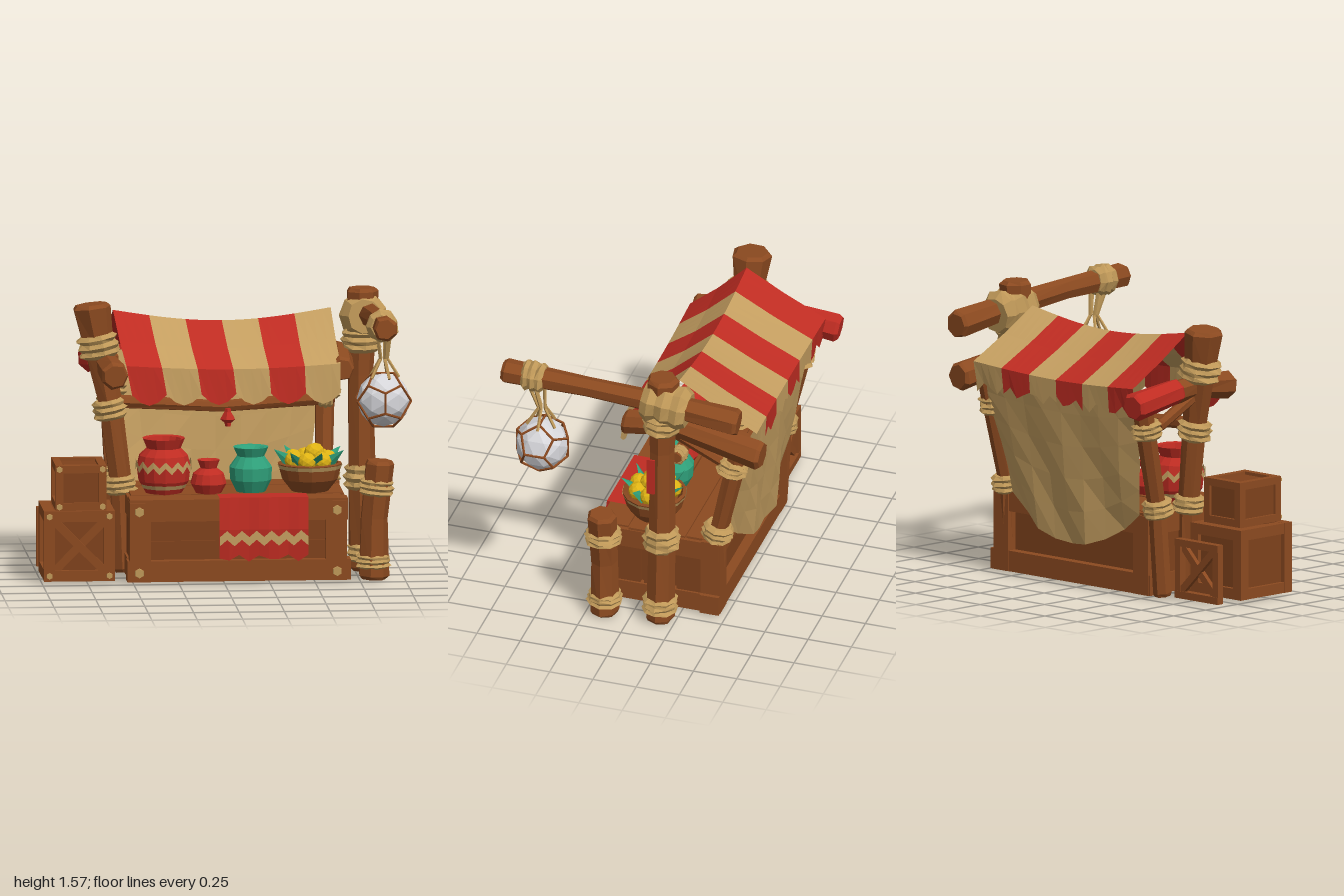
import * as THREE from 'three';

const mat = (name, color, side = THREE.FrontSide) => {
  const m = new THREE.MeshStandardMaterial({ color, side });
  m.name = name;
  return m;
};
const V = (x, y, z) => new THREE.Vector3(x, y, z);

export function createModel() {
  const root = new THREE.Group();
  root.name = 'marketStall';
  const wood = mat('wood', 0x8c4a20), plank = mat('plankWood', 0x7f421c);
  const rope = mat('rope', 0xbf9858), tan = mat('tanCloth', 0xc49e60, THREE.DoubleSide);
  const red = mat('red', 0xbf2c22, THREE.DoubleSide), green = mat('green', 0x2fa07a, THREE.DoubleSide);
  const yellow = mat('yellow', 0xe0b414), white = mat('glass', 0xd6d6da);

  let seed = 7;
  const rand = () => ((seed = (seed * 16807) % 2147483647) / 2147483647) - 0.5;

  // Adds a mesh with faceted normals
  const add = (name, geo, material, parent = root) => {
    const g = geo.index ? geo.toNonIndexed() : geo;
    g.computeVertexNormals();
    const m = new THREE.Mesh(g, material);
    m.name = name;
    parent.add(m);
    return m;
  };
  const box = (name, x, y, z, w, h, d, material = wood, parent = root) => {
    const m = add(name, new THREE.BoxGeometry(w, h, d), material, parent);
    m.position.set(x, y, z);
    return m;
  };
  const build = (pos, idx) => {
    const g = new THREE.BufferGeometry();
    g.setAttribute('position', new THREE.Float32BufferAttribute(pos, 3));
    g.setIndex(idx);
    return g;
  };

  // Loft of rough rings along a path, capped at both ends
  const loft = (pts, radii, sides, rough) => {
    const pos = [], idx = [], n = pts.length;
    const axis = pts[n - 1].clone().sub(pts[0]).normalize();
    const ref = Math.abs(axis.y) > 0.7 ? V(0, 0, 1) : V(0, 1, 0);
    const a = ref.cross(axis).normalize(), b = axis.clone().cross(a);
    pts.forEach((p, k) => {
      for (let i = 0; i < sides; i++) {
        const t = ((i + 0.5) / sides) * Math.PI * 2, r = radii[k] * (1 + rand() * rough);
        pos.push(...p.clone().addScaledVector(a, Math.cos(t) * r).addScaledVector(b, Math.sin(t) * r).toArray());
      }
    });
    pos.push(...pts[0].toArray(), ...pts[n - 1].toArray());
    for (let i = 0; i < sides; i++) {
      const j = (i + 1) % sides;
      for (let k = 0; k < n - 1; k++) {
        const q = k * sides, s = q + sides;
        idx.push(q + i, q + j, s + i, q + j, s + j, s + i);
      }
      idx.push(n * sides, j, i, n * sides + 1, (n - 1) * sides + i, (n - 1) * sides + j);
    }
    return build(pos, idx);
  };
  // Log with chamfered ends
  const log = (name, pts, radii, material = wood, sides = 7) => {
    const n = pts.length, c = 0.02;
    const p1 = pts[0].clone().add(pts[1].clone().sub(pts[0]).setLength(c));
    const p2 = pts[n - 1].clone().add(pts[n - 2].clone().sub(pts[n - 1]).setLength(c));
    return add(name, loft([pts[0], p1, ...pts.slice(1, -1), p2, pts[n - 1]],
      [radii[0] * 0.82, radii[0], ...radii.slice(1, -1), radii[n - 1], radii[n - 1] * 0.82], sides, 0.12), material);
  };
  // Lumpy rope binding around a log
  const wrap = (p, dir, r, h) => {
    const f = [0.85, 1.12, 0.98, 1.15, 0.97, 1.1, 0.85];
    const d = dir.clone().normalize();
    add('ropeBinding', loft(f.map((_, i) => p.clone().addScaledVector(d, (i / 6 - 0.5) * h)), f.map(s => s * r), 9, 0.16), rope);
  };
  // Surface from a function of two whole-number steps
  const grid = (nu, nv, f) => {
    const pos = [], idx = [];
    for (let j = 0; j <= nv; j++) for (let i = 0; i <= nu; i++) pos.push(...f(i / nu, j));
    for (let j = 0; j < nv; j++) for (let i = 0; i < nu; i++) {
      const a = j * (nu + 1) + i, c = a + nu + 1;
      idx.push(a, a + 1, c, a + 1, c + 1, c);
    }
    return build(pos, idx);
  };
  const peg = (x, y, z, r = 0.02) => {
    const m = add('peg', new THREE.CylinderGeometry(r, r * 1.1, 0.016, 6), rope);
    m.rotation.x = Math.PI / 2;
    m.position.set(x, y, z);
  };

  // Counter
  box('counterBody', 0.075, 0.24, -0.11, 1.13, 0.42, 0.6, plank);
  for (const z of [0.19, -0.41]) {
    box('topBeam', 0.08, 0.415, z, 1.2, 0.12, 0.1);
    box('bottomBeam', 0.08, 0.078, z, 1.23, 0.115, 0.11);
    for (const x of [-0.465, 0.615]) box('cornerPost', x, 0.24, z, 0.115, 0.44, 0.115);
  }
  for (const x of [-0.475, 0.63]) {
    box('sideTopBeam', x, 0.41, -0.11, 0.09, 0.11, 0.64);
    box('sideBottomBeam', x, 0.078, -0.11, 0.1, 0.11, 0.7);
    for (let i = 0; i < 3; i++) box('sidePlank', x, 0.24, -0.3 + i * 0.19, 0.075, 0.24, 0.17, plank);
  }
  for (let i = 0; i < 4; i++) box('counterPlank', 0.075 + rand() * 0.02, 0.462, 0.15 - i * 0.165, 1.17, 0.026 + i % 2 * 0.006, 0.158);
  for (let i = 0; i < 2; i++) box('frontPlank', 0.08, 0.19 + i * 0.11, 0.19, 1, 0.1, 0.03 + i * 0.012, plank);
  for (const x of [-0.47, 0.62]) for (const y of [0.07, 0.41]) peg(x, y, 0.252, 0.026);

  // Posts
  const lp = [V(-0.52, 0.02, -0.16), V(-0.54, 0.5, -0.17), V(-0.6, 0.95, -0.18), V(-0.66, 1.27, -0.2), V(-0.7, 1.5, -0.21)];
  log('leftPost', lp, [0.065, 0.06, 0.065, 0.085, 0.11]);
  wrap(lp[1], V(-0.1, 1, 0), 0.08, 0.1);
  wrap(lp[2].clone().setY(0.92), V(-0.2, 1, 0), 0.085, 0.11);
  wrap(lp[3], V(-0.2, 1, 0), 0.105, 0.13);
  log('tallPost', [V(0.8, 0.01, -0.16), V(0.785, 0.6, -0.165), V(0.78, 1.1, -0.165), V(0.79, 1.58, -0.175)], [0.085, 0.075, 0.07, 0.088]);
  wrap(V(0.8, 0.11, -0.16), V(0, 1, 0), 0.088, 0.1);
  wrap(V(0.787, 0.53, -0.165), V(0, 1, 0), 0.09, 0.14);
  wrap(V(0.785, 1.29, -0.17), V(0, 1, 0), 0.1, 0.13);
  wrap(V(0.8, 1.42, -0.2), V(0, 0.12, 1), 0.115, 0.26);
  box('redPatch', 0.855, 0.96, -0.125, 0.009, 0.22, 0.045, red);
  log('shortPost', [V(0.825, 0.01, 0.15), V(0.83, 0.35, 0.15), V(0.86, 0.67, 0.155)], [0.085, 0.075, 0.083]);
  wrap(V(0.825, 0.11, 0.15), V(0, 1, 0), 0.088, 0.08);
  wrap(V(0.845, 0.52, 0.15), V(0.1, 1, 0), 0.09, 0.09);
  for (const s of [-1, 1]) {
    log('backPost', [V(s * 0.59 + 0.02, 0.02, -0.4), V(s * 0.58 + 0.02, 0.5, -0.43), V(s * 0.6 + 0.02, 1.17, -0.58)], [0.055, 0.05, 0.06]);
    wrap(V(s * 0.58 + 0.02, 0.51, -0.43), V(0, 1, -0.2), 0.08, 0.1);
    wrap(V(s * 0.59 + 0.02, 0.96, -0.52), V(0, 1, -0.2), 0.078, 0.1);
    log('sideBrace', [V(s * 0.64, 1.15, -0.17), V(s * 0.62, 0.98, -0.48)], [0.035, 0.035]);
  }

  // Roof beams, the left one with a red rear end
  log('rightRoofBeam', [V(0.66, 1.165, 0.09), V(0.67, 1.21, -0.2), V(0.7, 1.12, -0.72)], [0.07, 0.065, 0.083]);
  log('leftRoofBeam', [V(-0.59, 1.14, 0.09), V(-0.62, 1.17, -0.2), V(-0.645, 1.16, -0.4)], [0.078, 0.065, 0.065]);
  log('leftRoofBeamEnd', [V(-0.645, 1.17, -0.36), V(-0.665, 1.12, -0.73)], [0.07, 0.08], red);
  log('crossBeam', [V(-0.62, 0.96, -0.2), V(0.02, 0.925, -0.19), V(0.64, 0.965, -0.2)], [0.038, 0.032, 0.038]);
  wrap(V(0.59, 0.96, -0.2), V(1, 0, 0), 0.045, 0.08);
  log('hangingCharm', [V(0.05, 0.92, -0.15), V(0.05, 0.86, -0.15), V(0.05, 0.82, -0.15)], [0.02, 0.045, 0.02], red, 5);

  // Striped awning: valance, front slope, ridge, back slope, rear flap
  const rows = [[-0.5, 0.65, 1.04, 0.115], [-0.53, 0.65, 1.2, 0.095], [-0.555, 0.635, 1.315, -0.055], [-0.58, 0.62, 1.465, -0.215],
    [-0.59, 0.625, 1.335, -0.43], [-0.6, 0.63, 1.21, -0.665], [-0.6, 0.62, 1.07, -0.645]];
  const sag = [0, 0.025, 0.045, 0.065, 0.05, 0.03, 0.01];
  for (let s = 0; s < 6; s++) {
    add('awningStripe', grid(4, 6, (q, j) => {
      const u = (s + q) / 6, [x0, x1, y, z] = rows[j];
      const drop = j === 0 ? 0.06 * Math.sin(Math.PI * q) : j === 6 ? 0.03 * Math.sin(q * 9 + s) : 0;
      return [x0 + (x1 - x0) * u, y - drop - sag[j] * Math.sin(Math.PI * u), z + (j === 5 ? 0.02 * Math.sin(Math.PI * u) : 0)];
    }), s % 2 ? tan : red);
  }
  // Back cloth, narrowing to a sagging hem
  add('backCloth', grid(8, 5, (q, j) => {
    const u = q * 2 - 1, v = j / 5;
    const y = 1.18 - v * (0.93 - 0.22 * u * u);
    return [0.015 + u * (0.6 - 0.1 * v), y, -0.625 + v * (0.1 + 0.05 * u * u) + 0.02 * Math.sin(q * 17 + j) * v];
  }), tan);

  // Table cloth with a zigzag band
  const zig = i => (i % 2 ? 0.035 : 0);
  const drape = [[0.484, 0.1], [0.486, 0.255], [0.31, 0.272], [0.15, 0.262]];
  add('tableCloth', grid(9, 3, (q, j) => [-0.03 + q * 0.49, drape[j][0] - (j === 3 ? 0.02 * Math.sin(q * 23) : 0),
    drape[j][1] + (j > 1 ? 0.006 * Math.sin(q * 14) : 0)]), red);
  add('clothBand', grid(12, 1, (q, j) => [-0.03 + q * 0.49, 0.22 + j * 0.05 + zig(Math.round(q * 12)), 0.282]), tan);

  // Pots
  const pot = (name, x, z, profile, material) => {
    const m = add(name, new THREE.LatheGeometry(profile.map(p => new THREE.Vector2(...p)), 14), material);
    m.position.set(x, 0.475, z);
    return m;
  };
  const big = pot('redPot', -0.315, -0.03, [[0, 0], [0.1, 0], [0.14, 0.07], [0.15, 0.15], [0.135, 0.21], [0.095, 0.25], [0.118, 0.305], [0.095, 0.3], [0.08, 0.25], [0, 0.22]], red);
  add('potZigzag', grid(28, 1, (q, j) => {
    const t = -q * Math.PI * 2, y = 0.12 + j * 0.035 + zig(Math.round(q * 28));
    return [Math.cos(t) * 0.156, y, Math.sin(t) * 0.156];
  }), tan, big);
  add('potBand', new THREE.CylinderGeometry(0.131, 0.118, 0.025, 14, 1, true), tan, big).position.y = 0.042;
  pot('smallRedPot', -0.07, 0, [[0, 0], [0.07, 0], [0.1, 0.055], [0.085, 0.11], [0.045, 0.14], [0.062, 0.185], [0.04, 0.18], [0, 0.14]], red);
  pot('greenPot', 0.165, -0.03, [[0, 0], [0.08, 0], [0.115, 0.07], [0.118, 0.14], [0.075, 0.2], [0.098, 0.25], [0.075, 0.247], [0, 0.2]], green);
  const bowl = pot('basket', 0.49, -0.03, [[0, 0], [0.1, 0], [0.155, 0.07], [0.178, 0.155], [0.16, 0.16], [0.13, 0.11], [0, 0.1]], wood);
  add('basketBand', new THREE.CylinderGeometry(0.181, 0.172, 0.022, 14, 1, true), tan, bowl).position.y = 0.14;
  for (let i = 0; i < 9; i++) {
    const t = i * 0.9, r = i < 7 ? 0.1 : 0.03;
    add('fruit', new THREE.IcosahedronGeometry(0.052, 1), yellow, bowl).position.set(Math.cos(t) * r, i < 7 ? 0.175 : 0.215, Math.sin(t) * r);
    const leaf = add('leaf', new THREE.ConeGeometry(0.04, 0.11, 4).scale(1, 1, 0.35), green, bowl);
    leaf.position.set(Math.cos(t + 0.4) * 0.155, 0.2, Math.sin(t + 0.4) * 0.14);
    leaf.rotation.set(Math.sin(t + 0.4) * 0.9, 0, -Math.cos(t + 0.4) * 0.9);
  }

  // Crates
  const crate = (cx, cy, cz, w, h, d, b) => {
    box('cratePanel', cx, cy, cz, w - b * 0.8, h - b * 0.8, d - b * 0.8, plank);
    for (const s of [-1, 1]) for (const t of [-1, 1]) {
      box('crateEdge', cx, cy + s * (h - b) / 2, cz + t * (d - b) / 2, w, b, b);
      box('crateEdge', cx + s * (w - b) / 2, cy, cz + t * (d - b) / 2, b, h * 0.99, b);
      box('crateEdge', cx + s * (w - b) / 2, cy + t * (h - b) / 2, cz, b * 0.98, b * 0.98, d);
      peg(cx + s * (w - b) / 2, cy + t * (h - b) / 2, cz + d / 2 + 0.004, 0.017);
    }
  };
  crate(-0.795, 0.215, -0.015, 0.39, 0.39, 0.4, 0.06);
  for (const s of [-1, 1]) box('crateBrace', -0.795, 0.215, 0.167 - s * 0.005, 0.4, 0.045, 0.03).rotation.z = s * 0.79;
  crate(-0.785, 0.535, 0.005, 0.28, 0.25, 0.32, 0.042);

  // Loose crate lid standing behind
  const lid = new THREE.Group();
  lid.name = 'crateLid';
  lid.position.set(-0.825, 0.185, -0.375);
  root.add(lid);
  for (const s of [-1, 1]) {
    box('lidRail', 0, s * 0.145, 0, 0.33, 0.04, 0.045, wood, lid);
    box('lidStile', s * 0.145, 0, 0, 0.04, 0.33, 0.04, wood, lid);
    box('lidBrace', 0, 0, s * 0.006, 0.4, 0.04, 0.025, wood, lid).rotation.z = s * Math.PI / 4;
  }

  // Lantern arm and netted globe
  log('lanternArm', [V(0.81, 1.38, -0.62), V(0.82, 1.43, -0.2), V(0.84, 1.465, 0.25), V(0.85, 1.485, 0.73)], [0.08, 0.065, 0.058, 0.068]);
  wrap(V(0.845, 1.478, 0.55), V(0, 0, 1), 0.078, 0.13);
  const c = V(0.855, 1.06, 0.5);
  add('lanternGlobe', new THREE.IcosahedronGeometry(0.15, 1), white).position.copy(c);
  const cord = (name, a, b, r, m) => add(name, loft([a, b], [r, r], 5, 0), m);
  const e = new THREE.EdgesGeometry(new THREE.DodecahedronGeometry(0.158)).attributes.position;
  for (let i = 0; i < e.count; i += 2)
    cord('net', V().fromBufferAttribute(e, i).add(c), V().fromBufferAttribute(e, i + 1).add(c), 0.007, wood);
  for (let i = 0; i < 5; i++) {
    const t = i * Math.PI * 0.4, x = Math.cos(t), z = Math.sin(t);
    const knot = V(0.855 + x * 0.02, 1.29, 0.5 + z * 0.02);
    cord('cord', V(c.x + x * 0.085, 1.185, c.z + z * 0.085), knot, 0.009, rope);
    cord('cord', knot, V(0.85 + x * 0.04, 1.43, 0.53 + z * 0.05), 0.01, rope);
  }
  return root;
}
